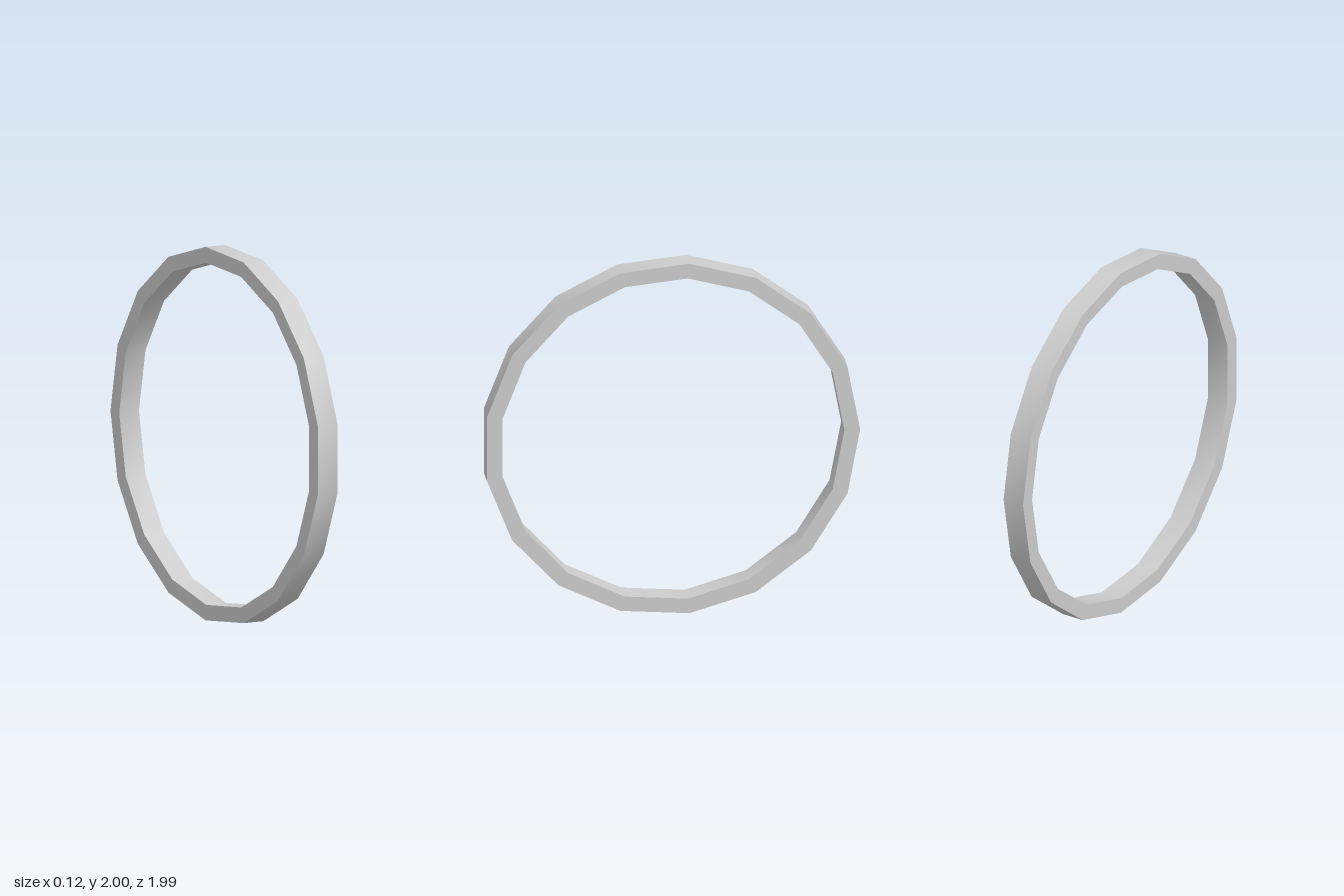
import * as THREE from 'three';
import { toCreasedNormals } from 'three/addons/utils/BufferGeometryUtils.js';

const SIDES = 17;
const OUTER = 1.004;
const INNER = 0.92;
const HALF_WIDTH = 0.0625;

export function createModel() {
  const group = new THREE.Group();
  group.name = 'ring';

  // Rectangular band section, closed, revolved into a 17-sided hoop
  const section = [
    [INNER, -HALF_WIDTH],
    [OUTER, -HALF_WIDTH],
    [OUTER, HALF_WIDTH],
    [INNER, HALF_WIDTH],
    [INNER, -HALF_WIDTH],
  ].map(([r, y]) => new THREE.Vector2(r, y));

  // One corner points to the back; the hoop's axis is laid along x
  const lathe = new THREE.LatheGeometry(section, SIDES, Math.PI);
  lathe.rotateZ(Math.PI / 2);

  // Smooth around the band, sharp at its four rims
  const geometry = toCreasedNormals(lathe, Math.PI / 5);
  const hoop = new THREE.Mesh(geometry, new THREE.MeshStandardMaterial({ color: 0xcccccc }));
  hoop.name = 'hoop';

  // Odd side count: shift so front and back extents are equal
  const shift = (OUTER * (1 - Math.cos(Math.PI / SIDES))) / 2;
  hoop.position.set(0, 1, shift);
  group.add(hoop);
  return group;
}
